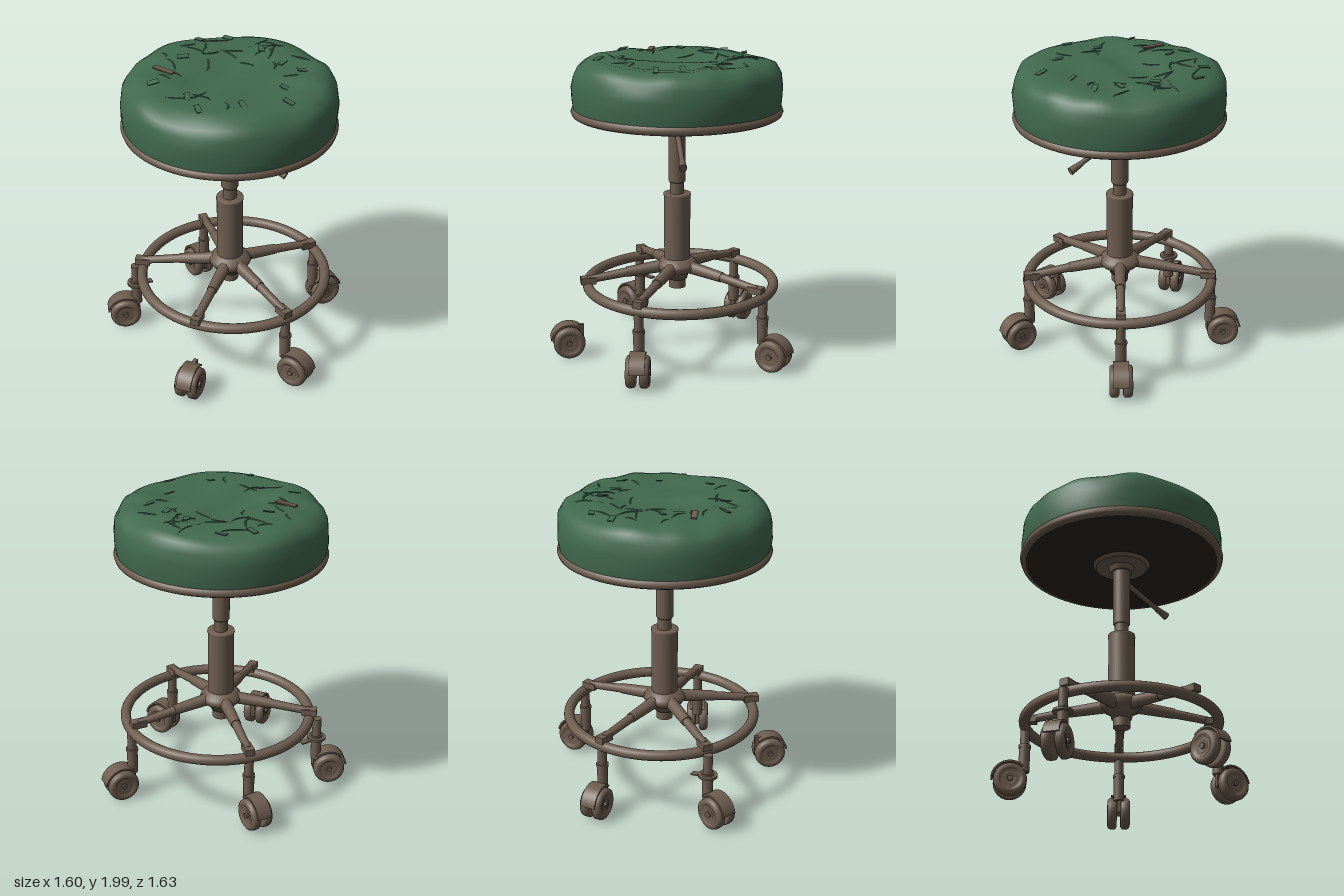
import * as THREE from 'three';
import { mergeVertices } from 'three/addons/utils/BufferGeometryUtils.js';

const CX = -0.055; // column axis
const mat = (name, color, side = THREE.FrontSide) => {
  const m = new THREE.MeshStandardMaterial({ color, side });
  m.name = name;
  return m;
};
const V = (x, y, z) => new THREE.Vector3(x, y, z);
const V2 = (p) => new THREE.Vector2(p[0], p[1]);

export function createModel() {
  const metal = mat('worn brown metal', 0x6e5d50);
  const green = mat('green upholstery', 0x41694f, THREE.DoubleSide);
  const dark = mat('dark underside', 0x2b241b);
  const root = new THREE.Group();
  root.name = 'rollingStool';

  const add = (name, geo, m, parent = root, x = 0, y = 0, z = 0) => {
    const mesh = new THREE.Mesh(geo, m);
    mesh.name = name;
    mesh.position.set(x, y, z);
    parent.add(mesh);
    return mesh;
  };
  const lathe = (pts, seg = 40) => new THREE.LatheGeometry(pts.map(V2), seg);
  // tapered rod between two points
  const rod = (name, a, b, ra, rb, parent = root) => {
    const d = b.clone().sub(a);
    const mesh = add(name, new THREE.CylinderGeometry(rb, ra, d.length(), 16), metal, parent);
    mesh.position.copy(a).addScaledVector(d, 0.5);
    mesh.quaternion.setFromUnitVectors(V(0, 1, 0), d.normalize());
    return mesh;
  };
  let seed = 7;
  const rnd = () => (seed = (seed * 16807) % 2147483647) / 2147483647;

  // --- Cushion: lathe with sagging, wrinkled top ---
  const profile = [[0.664, 1.66], [0.672, 1.72], [0.672, 1.8], [0.662, 1.87], [0.635, 1.92], [0.585, 1.95],
    [0.52, 1.966], [0.44, 1.968], [0.36, 1.963], [0.28, 1.955], [0.2, 1.948], [0.1, 1.942], [0, 1.94]];
  const baseY = (r) => {
    for (let i = 4; i < profile.length - 1; i++) {
      const [r0, y0] = profile[i], [r1, y1] = profile[i + 1];
      if (r >= r1) return y0 + ((y1 - y0) * (r0 - r)) / (r0 - r1);
    }
    return 1.94;
  };
  const wrinkle = (x, z) =>
    0.008 * Math.sin(9 * x + 5 * z + 2 * Math.sin(5 * z)) + 0.006 * Math.sin(15 * z - 8 * x + 2 * Math.sin(7 * x));
  const raw = lathe(profile, 96);
  raw.deleteAttribute('uv');
  raw.deleteAttribute('normal');
  const cushion = mergeVertices(raw, 1e-4);
  const p = cushion.attributes.position;
  for (let i = 0; i < p.count; i++) {
    const x = p.getX(i), y = p.getY(i), z = p.getZ(i);
    const a = Math.atan2(z, x);
    const t = THREE.MathUtils.smoothstep(y, 1.8, 1.94);
    const bulge = 1 + 0.006 * Math.sin(7 * a + 30 * y) * THREE.MathUtils.smoothstep(y, 1.66, 1.76);
    p.setXYZ(i, x * bulge, y + t * wrinkle(x, z), z * bulge);
  }
  cushion.computeVertexNormals();
  add('cushion', cushion, green, root, CX);

  // creases and torn flaps lying on the cushion
  const onTop = (x, z, lift) => V(x, baseY(Math.hypot(x, z)) + wrinkle(x, z) + lift, z);
  const tears = new THREE.Group();
  tears.name = 'cushionCreases';
  tears.position.x = CX;
  root.add(tears);
  for (let i = 0; i < 26; i++) {
    const a = rnd() * Math.PI * 2, r = 0.12 + 0.42 * Math.sqrt(rnd());
    const dir = rnd() * Math.PI, len = 0.05 + 0.07 * rnd();
    const pts = [-1, 0, 1].map((k) => {
      const bend = k === 0 ? 0.015 : 0;
      const x = r * Math.cos(a) + k * len * Math.cos(dir) + bend;
      const z = r * Math.sin(a) + k * len * Math.sin(dir) + bend;
      return onTop(x * 0.95, z * 0.95, k === 0 ? 0.002 : -0.004);
    });
    add('crease', new THREE.TubeGeometry(new THREE.CatmullRomCurve3(pts), 8, 0.005, 5), green, tears);
  }
  for (let i = 0; i < 12; i++) {
    const a = i * 2.4, r = 0.35 + 0.2 * rnd();
    const flap = add('flap', new THREE.BoxGeometry(0.07, 0.006, 0.035), green, tears);
    flap.position.copy(onTop(r * Math.cos(a), r * Math.sin(a), 0.008));
    flap.rotation.set(0.3 * rnd(), -a + rnd(), -0.25 * rnd());
  }
  // exposed strip in the largest tear
  const strip = add('exposedTear', new THREE.BoxGeometry(0.035, 0.009, 0.15), metal, tears);
  strip.position.copy(onTop(-0.34, -0.22, 0.01));
  strip.rotation.y = 0.45;

  // --- Seat base ---
  add('seatRim', lathe([[0.6, 1.608], [0.655, 1.608], [0.672, 1.618], [0.679, 1.638], [0.672, 1.66], [0.655, 1.668], [0.6, 1.668]], 72), metal, root, CX);
  add('seatUnderside', new THREE.CylinderGeometry(0.64, 0.64, 0.03, 64), dark, root, CX, 1.622);
  add('mountPlate', new THREE.CylinderGeometry(0.19, 0.17, 0.022, 40), metal, root, CX, 1.596);

  // --- Column ---
  add('mountCollar', new THREE.CylinderGeometry(0.085, 0.07, 0.035, 32), metal, root, CX, 1.568);
  add('upperColumn', lathe([[0, 1.16], [0.05, 1.16], [0.056, 1.17], [0.056, 1.57]]), metal, root, CX);
  add('piston', new THREE.CylinderGeometry(0.045, 0.045, 0.14, 32), metal, root, CX, 1.12);
  add('outerTube', lathe([[0.086, 0.6], [0.086, 1.065], [0.09, 1.07], [0.088, 1.085], [0.05, 1.085], [0, 1.08]]), metal, root, CX);
  add('hub', lathe([[0, 0.5], [0.065, 0.5], [0.075, 0.54], [0.12, 0.56], [0.14, 0.59], [0.13, 0.615], [0.1, 0.64], [0.086, 0.645]]), metal, root, CX);
  add('columnFoot', new THREE.CylinderGeometry(0.055, 0.055, 0.08, 24), metal, root, CX, 0.48);

  // height lever
  rod('lever', V(CX, 1.5, 0), V(0.16, 1.362, 0.28), 0.018, 0.016);
  rod('leverGrip', V(0.13, 1.38, 0.24), V(0.182, 1.347, 0.312), 0.018, 0.026);

  // --- Foot ring ---
  const ring = new THREE.TorusGeometry(0.615, 0.034, 16, 80);
  ring.rotateX(Math.PI / 2);
  add('footRing', ring, metal, root, -0.03, 0.475);

  // --- Casters: local +x is the trailing direction, origin below the stem ---
  const wheelGeo = lathe([[0, 0.02], [0.035, 0.02], [0.04, 0.026], [0.058, 0.018], [0.066, 0.03], [0.086, 0.032],
    [0.101, 0.022], [0.105, 0.005], [0.104, -0.02], [0.09, -0.03], [0, -0.03]].reverse(), 36);
  wheelGeo.rotateX(Math.PI / 2); // outer face towards +z
  const hoodShape = new THREE.Shape();
  hoodShape.absarc(0, 0, 0.122, 0.15, 2.3, false);
  hoodShape.absarc(0, 0, 0.11, 2.3, 0.15, true);
  const hoodGeo = new THREE.ExtrudeGeometry(hoodShape, { depth: 0.1, bevelEnabled: false, curveSegments: 20 });
  hoodGeo.translate(0, 0, -0.05);

  const caster = (x, z, angle, withStem) => {
    const g = new THREE.Group();
    g.name = 'caster';
    g.position.set(x, 0, z);
    g.rotation.y = -angle;
    root.add(g);
    for (const s of [1, -1]) {
      const w = add('wheel', wheelGeo, metal, g, 0.085, 0.108, s * 0.043);
      if (s < 0) w.rotation.y = Math.PI;
    }
    const axle = add('axle', new THREE.CylinderGeometry(0.018, 0.018, 0.15, 16), metal, g, 0.085, 0.108);
    axle.rotation.x = Math.PI / 2;
    add('hood', hoodGeo, metal, g, 0.085, 0.112);
    add('forkPlate', new THREE.BoxGeometry(0.1, 0.13, 0.026), metal, g, 0.035, 0.155);
    if (!withStem) return;
    add('stemSocket', new THREE.CylinderGeometry(0.036, 0.034, 0.17, 20), metal, g, 0, 0.255);
    add('stemCollar', new THREE.CylinderGeometry(0.04, 0.04, 0.02, 20), metal, g, 0, 0.34);
    add('stem', new THREE.CylinderGeometry(0.03, 0.03, 0.14, 20), metal, g, 0, 0.405);
  };

  // stem position, caster heading in degrees, whether the stem is still there
  const legs = [
    [0.59, 0, 0, true], [0.04, 0.61, 61, true], [-0.527, 0.443, 138, false],
    [-0.595, -0.36, 198, true], [0.035, -0.61, -95, true],
  ];
  for (const [x, z, deg, whole] of legs) {
    caster(x, z, THREE.MathUtils.degToRad(deg), whole);
    const a = Math.atan2(z, x - CX);
    const at = (r, y) => V(CX + r * Math.cos(a), y, r * Math.sin(a));
    rod('spoke', at(0.09, 0.59), at(0.34, 0.562), 0.042, 0.034);
    rod('spokeEnd', at(0.32, 0.564), at(0.6, 0.525), 0.03, 0.025);
    // clamp fixing the spoke to the ring
    const clamp = add('ringClamp', new THREE.BoxGeometry(0.1, 0.045, 0.06), metal);
    clamp.position.copy(at(0.595, 0.522));
    clamp.rotation.y = -a;
  }

  // brake collar on the rear right stem
  add('brakeCollar', new THREE.CylinderGeometry(0.062, 0.062, 0.016, 24), metal, root, -0.595, 0.33, -0.36);
  const pedal = add('brakePedal', new THREE.BoxGeometry(0.11, 0.01, 0.04), metal, root, -0.535, 0.318, -0.36);
  pedal.rotation.z = -0.12;

  return root;
}
